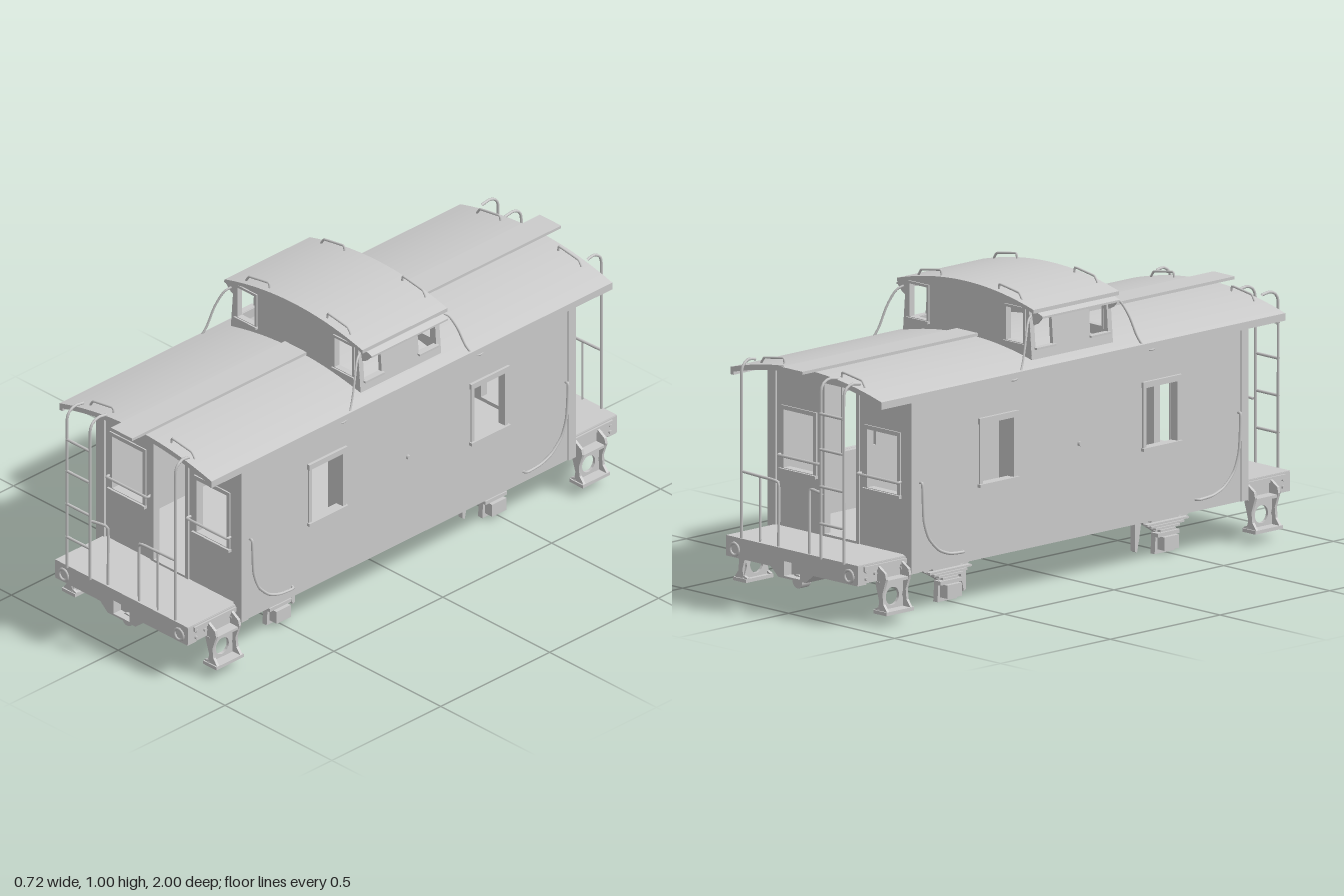
import * as THREE from 'three';
import { mergeVertices, toCreasedNormals } from 'three/addons/utils/BufferGeometryUtils.js';

const material = new THREE.MeshStandardMaterial({ color: 0xcccccc, side: THREE.DoubleSide });

export function createModel() {
  const model = new THREE.Group();

  // Adds a part, mirrored over x and/or z as named in axes.
  function add(name, geo, axes = '') {
    const base = mergeVertices(geo);
    for (const sx of axes.includes('x') ? [1, -1] : [1]) {
      for (const sz of axes.includes('z') ? [1, -1] : [1]) {
        const g = base.clone().scale(sx, 1, sz);
        if (sx * sz < 0) {
          const a = g.index.array;
          for (let i = 0; i < a.length; i += 3) [a[i], a[i + 1]] = [a[i + 1], a[i]];
        }
        const mesh = new THREE.Mesh(g, material);
        mesh.name = name;
        model.add(mesh);
      }
    }
  }

  // Box given by its limits.
  function box(name, x0, x1, y0, y1, z0, z1, axes) {
    const g = new THREE.BoxGeometry(x1 - x0, y1 - y0, z1 - z0);
    add(name, g.translate((x0 + x1) / 2, (y0 + y1) / 2, (z0 + z1) / 2), axes);
  }

  const poly = (pts) => new THREE.Shape(pts.map(([x, y]) => new THREE.Vector2(x, y)));
  const rect = (x0, x1, y0, y1) => poly([[x0, y0], [x1, y0], [x1, y1], [x0, y1]]);
  const cut = (shape, ...holes) => { shape.holes.push(...holes); return shape; };
  const extrude = (shape, depth) => toCreasedNormals(
    new THREE.ExtrudeGeometry(shape, { depth, bevelEnabled: false, curveSegments: 20 }), 0.5);
  // Plate facing z, starting at z0.
  const endPlate = (shape, z0, depth) => extrude(shape, depth).translate(0, 0, z0);
  // Plate facing x, drawn in (z, y), with its outer face at x.
  const sidePlate = (shape, x, depth) => extrude(shape, depth).rotateY(-Math.PI / 2).translate(x, 0, 0);

  // Round bar through the given points.
  function bar(name, pts, r, axes, tension = 0.1) {
    const curve = new THREE.CatmullRomCurve3(pts.map((p) => new THREE.Vector3(...p)), false, 'catmullrom', tension);
    add(name, new THREE.TubeGeometry(curve, pts.length * 8, r, 6), axes);
  }

  // Points along a shallow arch, from x0 to x1.
  const arch = (x0, x1, top, drop, half, n = 24) => Array.from({ length: n + 1 }, (_, i) => {
    const x = x0 + (x1 - x0) * i / n;
    return [x, top - drop * (x / half) ** 2];
  });
  const roofShape = (half, top, drop, t) =>
    poly([...arch(half, -half, top, drop, half), ...arch(-half, half, top - t, drop, half)]);

  // ---- Body ----
  const endWall = poly([[-0.33, 0.155], [0.33, 0.155], ...arch(0.33, -0.33, 0.8, 0.05, 0.355)]);
  cut(endWall, rect(-0.075, 0.075, 0.22, 0.73), rect(0.125, 0.27, 0.41, 0.61), rect(-0.27, -0.125, 0.41, 0.61));
  add('endWall', endPlate(endWall, 0.74, 0.02), 'z');
  const sideWall = cut(rect(-0.76, 0.76, 0.155, 0.765), rect(0.3, 0.445, 0.405, 0.61), rect(-0.445, -0.3, 0.405, 0.61));
  add('sideWall', sidePlate(sideWall, 0.335, 0.02), 'x');
  box('cornerPost', 0.302, 0.34, 0.155, 0.76, 0.735, 0.768, 'xz');
  box('letterBoard', 0.333, 0.341, 0.735, 0.76, -0.76, 0.76, 'x');

  // Window and door trim
  add('sideWindowFrame', sidePlate(cut(rect(0.288, 0.457, 0.4, 0.625), rect(0.302, 0.443, 0.407, 0.608)), 0.34, 0.03), 'xz');
  box('sideWindowSill', 0.33, 0.348, 0.397, 0.408, 0.283, 0.462, 'xz');
  box('sideWindowHeader', 0.33, 0.345, 0.61, 0.63, 0.284, 0.461, 'xz');
  add('endWindowFrame', endPlate(cut(rect(0.113, 0.282, 0.4, 0.622), rect(0.127, 0.268, 0.412, 0.608)), 0.735, 0.03), 'xz');
  box('endWindowSill', 0.11, 0.285, 0.4, 0.41, 0.755, 0.773, 'xz');
  add('doorFrame', endPlate(cut(rect(-0.088, 0.088, 0.21, 0.742), rect(-0.074, 0.074, 0.222, 0.729)), 0.738, 0.027), 'z');
  add('sideBolt', new THREE.CylinderGeometry(0.008, 0.008, 0.012, 10).rotateZ(Math.PI / 2).translate(0.339, 0.47, 0), 'x');

  // Lockers under the lookout
  box('locker', 0.145, 0.316, 0.205, 0.74, -0.18, 0.18, 'x');

  // ---- Main roof ----
  add('mainRoof', endPlate(roofShape(0.355, 0.812, 0.05, 0.018), -0.92, 1.84));
  box('eaveStrip', 0.342, 0.356, 0.737, 0.762, -0.92, 0.92, 'x');
  box('runningBoard', -0.05, 0.05, 0.814, 0.824, 0.18, 0.985, 'z');
  for (const z of [0.3, 0.5, 0.7, 0.88]) box('boardSupport', 0.02, 0.03, 0.8, 0.818, z, z + 0.02, 'xz');

  // ---- Cupola ----
  const cupolaEnd = poly([[-0.305, 0.76], [0.305, 0.76], ...arch(0.29, -0.29, 0.985, 0.045, 0.32)]);
  cut(cupolaEnd, rect(0.185, 0.27, 0.825, 0.94), rect(-0.27, -0.185, 0.825, 0.94));
  add('cupolaEndWall', endPlate(cupolaEnd, 0.17, 0.015), 'z');
  add('cupolaEndWindowFrame', endPlate(cut(rect(0.178, 0.277, 0.818, 0.947), rect(0.187, 0.268, 0.827, 0.938)), 0.168, 0.022), 'xz');
  box('cupolaEndWindowSill', 0.176, 0.279, 0.817, 0.825, 0.18, 0.196, 'xz');
  const cupolaSide = cut(rect(-0.184, 0.184, 0, 0.19), rect(0.085, 0.165, 0.055, 0.163), rect(-0.165, -0.085, 0.055, 0.163));
  add('cupolaSideWall', sidePlate(cupolaSide, 0, 0.014).rotateZ(0.078).translate(0.305, 0.76, 0), 'x');
  box('cupolaSideWindowSill', 0.29, 0.312, 0.808, 0.815, 0.08, 0.17, 'xz');
  add('cupolaRoof', endPlate(roofShape(0.322, 0.993, 0.044, 0.013), -0.195, 0.39));
  add('cupolaAwning', endPlate(poly([[0.288, 0.948], [0.288, 0.94], [0.345, 0.92], [0.345, 0.927]]), -0.175, 0.35), 'x');
  add('awningBracket', endPlate(poly([[0.29, 0.943], [0.3, 0.89], [0.32, 0.9], [0.343, 0.924]]), 0.168, 0.006), 'xz');
  bar('cupolaBrace', [[0.3, 0.925, 0.185], [0.312, 0.91, 0.21], [0.328, 0.86, 0.235], [0.34, 0.79, 0.26],
    [0.35, 0.75, 0.285], [0.354, 0.738, 0.31], [0.352, 0.742, 0.335]], 0.004, 'xz', 0.5);

  // Roof grab irons
  function roofGrab(z, top, drop, half) {
    const y = (x) => top - drop * (x / half) ** 2;
    bar('roofGrabIron', [[0.135, y(0.135), z], [0.14, y(0.14) + 0.018, z], [0.23, y(0.23) + 0.018, z],
      [0.245, y(0.245), z]], 0.004, 'xz');
  }
  roofGrab(0.888, 0.812, 0.05, 0.355);
  roofGrab(0.172, 0.993, 0.044, 0.322);

  // ---- Underframe and platforms ----
  box('floor', -0.318, 0.318, 0.19, 0.207, -0.96, 0.96);
  box('sideSill', 0.285, 0.325, 0.155, 0.2, -0.76, 0.76, 'x');
  box('platformSideSill', 0.275, 0.312, 0.15, 0.212, 0.755, 0.985, 'xz');
  for (const z of [0.11, 0.33, 0.55, 0.74]) box('crossBeam', -0.29, 0.29, 0.158, 0.192, z - 0.02, z + 0.02, 'z');
  const beam = poly([[-0.31, 0.145], [-0.1, 0.145], [-0.065, 0.115], [0.065, 0.115], [0.1, 0.145], [0.31, 0.145],
    [0.31, 0.205], [-0.31, 0.205]]);
  add('endBeam', endPlate(cut(beam, rect(-0.038, 0.038, 0.122, 0.172)), 0.945, 0.04), 'z');
  add('couplerBlock', endPlate(poly([[-0.1, 0.145], [-0.065, 0.115], [0.065, 0.115], [0.1, 0.145], [0.1, 0.19], [-0.1, 0.19]]), 0.87, 0.08), 'z');
  box('platformTop', -0.31, 0.31, 0.203, 0.214, 0.76, 0.985, 'z');
  add('coupler', new THREE.CylinderGeometry(0.023, 0.023, 0.04, 18).rotateX(Math.PI / 2).translate(0, 0.105, 0.94), 'z');
  add('polingPocket', new THREE.TorusGeometry(0.02, 0.005, 8, 20).translate(0.27, 0.173, 0.985), 'xz');
  for (const [z, y] of [[0.95, 0.165], [0.95, 0.19], [0.91, 0.178], [0.79, 0.178]]) {
    add('sillBolt', new THREE.CylinderGeometry(0.006, 0.006, 0.01, 8).rotateZ(Math.PI / 2).translate(0.315, y, z), 'xz');
  }

  // Boarding steps
  const stepSide = poly([[0.305, 0.2], [0.318, 0.2], [0.35, 0.18], [0.355, 0.16], [0.338, 0.11], [0.342, 0.075],
    [0.36, 0.052], [0.36, 0.042], [0.3, 0.042], [0.3, 0.055], [0.32, 0.063], [0.322, 0.085], [0.305, 0.14]]);
  for (const z of [0.783, 0.889]) add('stepSidePlate', endPlate(stepSide, z, 0.01), 'xz');
  const hole = new THREE.Path().absarc(0.841, 0.093, 0.03, 0, Math.PI * 2, true);
  const stepBack = poly([[0.78, 0.05], [0.902, 0.05], [0.885, 0.09], [0.902, 0.15], [0.78, 0.15], [0.797, 0.09]]);
  add('stepBackPlate', sidePlate(cut(stepBack, hole), 0.325, 0.01), 'xz');
  box('stepTread', 0.3, 0.362, 0.04, 0.052, 0.778, 0.904, 'xz');
  box('upperTread', 0.305, 0.35, 0.145, 0.155, 0.783, 0.899, 'xz');

  // ---- Ladder, posts and railings at both ends ----
  const upright = (x, z) => [[x, 0.21, z], [x, 0.77, z], [x, 0.8, z - 0.012], [x, 0.812, z - 0.035], [x, 0.806, 0.915]];
  for (const x of [-0.25, -0.142]) bar('ladderRail', upright(x, 0.99), 0.005, 'z');
  for (const y of [0.33, 0.455, 0.58, 0.7]) bar('ladderRung', [[-0.25, y, 0.993], [-0.142, y, 0.993]], 0.005, 'z');
  bar('roofPost', upright(0.245, 0.978), 0.005, 'z');
  bar('endRailing', [[0.073, 0.21, 0.975], [0.073, 0.428, 0.975], [0.15, 0.435, 0.975], [0.245, 0.438, 0.975]], 0.005, 'z');
  bar('railingPost', [[0.16, 0.21, 0.975], [0.16, 0.435, 0.975]], 0.004, 'z');
  bar('ladderSideRailing', [[-0.073, 0.21, 0.975], [-0.073, 0.43, 0.975], [-0.142, 0.428, 0.982]], 0.005, 'z');
  bar('endWallGrabBar', [[0.095, 0.455, 0.758], [0.095, 0.455, 0.778], [0.28, 0.455, 0.778], [0.28, 0.455, 0.758]], 0.005, 'xz');
  bar('sideHandrail', [[0.333, 0.455, 0.725], [0.347, 0.45, 0.725], [0.347, 0.33, 0.718], [0.347, 0.265, 0.695],
    [0.347, 0.22, 0.65], [0.347, 0.2, 0.6], [0.347, 0.195, 0.54], [0.333, 0.195, 0.53]], 0.005, 'xz', 0.35);

  // ---- Running gear ----
  const pedestal = cut(poly([[0.45, 0.005], [0.54, 0.005], [0.535, 0.08], [0.56, 0.095], [0.6, 0.115], [0.64, 0.15],
    [0.64, 0.165], [0.36, 0.165], [0.36, 0.15], [0.4, 0.115], [0.43, 0.095], [0.455, 0.08]]),
  rect(0.472, 0.518, 0.02, 0.07), poly([[0.56, 0.112], [0.585, 0.122], [0.607, 0.142], [0.56, 0.142]]),
  poly([[0.435, 0.112], [0.435, 0.142], [0.392, 0.142], [0.412, 0.122]]));
  add('pedestal', sidePlate(pedestal, 0.226, 0.02), 'xz');
  box('axleBox', 0.22, 0.26, 0.02, 0.065, 0.462, 0.528, 'xz');
  box('springSeat', 0.215, 0.246, 0.065, 0.078, 0.445, 0.545, 'xz');
  for (let i = 0; i < 4; i++) {
    box('leafSpring', 0.225, 0.243, 0.08 + i * 0.009, 0.087 + i * 0.009, 0.46 - i * 0.02, 0.53 + i * 0.02, 'xz');
  }
  add('brakeHanger', sidePlate(poly([[0.385, 0.02], [0.395, 0.015], [0.405, 0.06], [0.415, 0.12], [0.41, 0.165],
    [0.39, 0.165], [0.385, 0.11]]), 0.2, 0.02), 'xz');
  bar('brakeBeam', [[-0.2, 0.105, 0.4], [0.2, 0.105, 0.4]], 0.005, 'z');
  bar('brakeRod', [[0, 0.11, -0.4], [0, 0.11, 0.4]], 0.004);
  add('brakeCylinder', new THREE.CylinderGeometry(0.022, 0.022, 0.05, 16).rotateX(Math.PI / 2).translate(0, 0.108, 0.08));
  box('cylinderHanger', -0.006, 0.006, 0.12, 0.192, 0.07, 0.09);

  return model;
}
